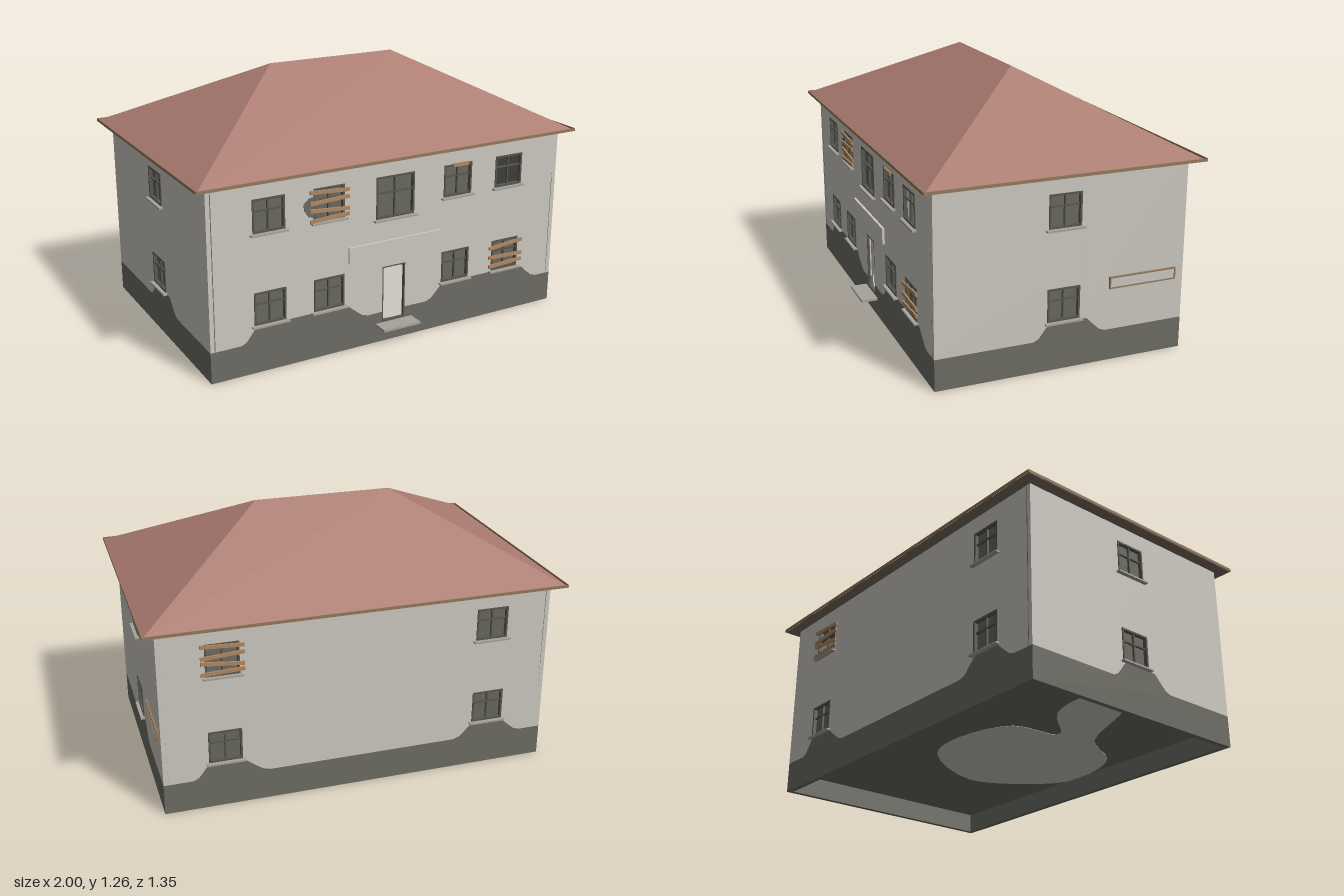
import * as THREE from 'three';

const mat = (name, color, extra = {}) => Object.assign(new THREE.MeshStandardMaterial({ color, ...extra }), { name });

export function createModel() {
  const M = {
    plaster: mat('plaster', 0xcbc8bf),
    stain: mat('dark stain', 0x6c6b63),
    roof: mat('roof tile red', 0xab7b71),
    eave: mat('eave brown', 0x94795c),
    soffit: mat('soffit grey brown', 0x7a6d62),
    frame: mat('window frame grey', 0x57564f),
    glass: mat('dark glass', 0x68675f),
    wood: mat('board wood', 0xb08862),
    sill: mat('sill grey', 0xa5a39b),
  };
  const house = new THREE.Group();
  house.name = 'house';

  const add = (parent, name, geo, material) => {
    const m = new THREE.Mesh(geo, material);
    m.name = name;
    parent.add(m);
    return m;
  };
  const box = (parent, name, material, w, h, d, x, y, z, tilt = 0) => {
    const m = add(parent, name, new THREE.BoxGeometry(w, h, d), material);
    m.position.set(x, y, z);
    m.rotation.z = tilt;
    return m;
  };
  const shapeOf = pts => new THREE.Shape(pts.map(p => new THREE.Vector2(p[0], p[1])));
  const extrude = (shape, depth, z) =>
    new THREE.ExtrudeGeometry(shape, { depth, bevelEnabled: false, curveSegments: 8 }).translate(0, 0, z);
  const rectPath = (x0, x1, y0, y1) => {
    const p = new THREE.Path();
    p.moveTo(x0, y0).lineTo(x0, y1).lineTo(x1, y1).lineTo(x1, y0).closePath();
    return p;
  };
  const frameShape = (x0, x1, y0, y1, t) => {
    const s = shapeOf([[x0, y0], [x1, y0], [x1, y1], [x0, y1]]);
    s.holes.push(rectPath(x0 + t, x1 - t, y0 + t, y1 - t));
    return s;
  };

  // One window: frame, cross bars, pane, sill and nailed boards
  function addWindow(wall, o) {
    const { x, y0, y1, w } = o, cy = (y0 + y1) / 2;
    const g = new THREE.Group();
    g.name = 'window';
    wall.add(g);
    add(g, 'windowFrame', extrude(frameShape(x - w / 2, x + w / 2, y0, y1, 0.009), 0.018, -0.014), M.frame);
    box(g, 'mullion', M.frame, 0.007, y1 - y0, 0.01, x, cy, -0.008);
    box(g, 'transom', M.frame, w, 0.007, 0.01, x, cy + 0.02, -0.008);
    if (!o.open) box(g, 'pane', M.glass, w, y1 - y0, 0.004, x, cy, -0.016);
    box(g, 'sill', M.sill, w + 0.025, 0.008, 0.036, x, y0 - 0.006, 0.002);
    for (const [dy, tilt, dx = 0, len = 0.2] of o.boards || [])
      box(g, 'board', M.wood, len, 0.017, 0.008, x + dx, y0 + dy, 0.01, tilt);
  }

  // One wall seen from outside; the stain edge splits plaster from the dark base
  function addWall(name, half, profile, windows, door) {
    const wall = new THREE.Group();
    wall.name = name;
    house.add(wall);
    const edge = [[-half, 0.15], ...profile, [half, 0.15]];
    const cut = (top) => {
      if (!door) return edge;
      const i = edge.findIndex(p => p[0] > door[0]);
      return [...edge.slice(0, i), [door[0], 0.152], [door[0], top], [door[1], top], [door[1], 0.152], ...edge.slice(i)];
    };
    const upper = shapeOf([...cut(0.38), [half, 0.915], [-half, 0.915]]);
    const lower = shapeOf([[-half, 0], [half, 0], ...cut(0.1).reverse()]);
    const inner = shapeOf([[-half, 0], [half, 0], [half, 0.9], [-half, 0.9]]);
    for (const o of windows) {
      const hole = () => rectPath(o.x - o.w / 2, o.x + o.w / 2, o.y0, o.y1);
      upper.holes.push(hole());
      inner.holes.push(hole());
      addWindow(wall, o);
    }
    if (door) inner.holes.push(rectPath(door[0], door[1], 0.1, 0.38));
    add(wall, 'plasterWall', extrude(upper, 0.02, -0.02), M.plaster);
    add(wall, 'stainedBase', extrude(lower, 0.02, -0.02), M.stain);
    add(wall, 'innerLining', extrude(inner, 0.004, -0.024), M.stain);
    return wall;
  }
  const up = (x, o = {}) => ({ x, w: 0.157, y0: 0.668, y1: 0.825, ...o });
  const low = (x, o = {}) => ({ x, w: 0.157, y0: 0.234, y1: 0.39, ...o });
  // Stain mound rising from a to b, falling from c to d
  const mound = (a, b, c, d) => [
    [a, 0.15], [a + (b - a) * 0.35, 0.163], [a + (b - a) * 0.65, 0.19], [b, 0.222], [b + 0.02, 0.227],
    [c - 0.02, 0.227], [c, 0.222], [c + (d - c) * 0.4, 0.185], [c + (d - c) * 0.7, 0.16], [d, 0.15]];

  // Front wall with door opening
  const front = addWall('frontWall', 0.938, [...mound(-0.79, -0.72, -0.25, -0.14), ...mound(0.18, 0.27, 0.75, 0.85)], [
    up(-0.648),
    up(-0.35, { boards: [[0.012, 0.05], [0.05, -0.08], [0.095, 0.04], [0.137, -0.06]] }),
    up(-0.002, { w: 0.205, y0: 0.622 }),
    up(0.345, { boards: [[0.155, 0, 0.01, 0.09]] }),
    up(0.643, { open: true }),
    low(-0.648), low(-0.35), low(0.345),
    low(0.643, { boards: [[0.13, 0.09], [0.07, -0.03], [0.03, 0.05]] }),
  ], [-0.065, 0.06]);
  front.position.z = 0.595;
  box(front, 'frontSign', M.plaster, 0.5, 0.08, 0.012, 0, 0.473, 0.006);
  box(front, 'doorStep', M.sill, 0.2, 0.011, 0.081, 0, 0.091, 0.041);
  add(front, 'doorFrame', extrude(frameShape(-0.065, 0.06, 0.1, 0.38, 0.006), 0.012, -0.012), M.frame);
  const burn = shapeOf([[-0.43, 0.69], [-0.41, 0.7], [-0.41, 0.79], [-0.45, 0.785], [-0.478, 0.76], [-0.475, 0.73], [-0.455, 0.7]]);
  add(front, 'darkPatch', extrude(burn, 0.004, 0), M.stain);

  // Back wall
  const back = addWall('backWall', 0.938, [...mound(-0.8, -0.73, -0.56, -0.44), ...mound(0.48, 0.57, 0.73, 0.83)], [
    up(-0.648, { open: true, boards: [[0.02, 0.05], [0.06, -0.1], [0.1, 0.07], [0.145, -0.05]] }),
    up(0.648), low(-0.648), low(0.648),
  ]);
  back.position.z = -0.61;
  back.rotation.y = Math.PI;
  const bare = shapeOf([[-0.09, 0.29], [-0.02, 0.265], [0.03, 0.285], [0.09, 0.285], [0.09, 0.19], [0.02, 0.195], [-0.03, 0.215], [-0.09, 0.21]]);
  add(back, 'innerPlasterPatch', extrude(bare, 0.004, -0.029), M.plaster);

  // Side walls
  for (const s of [1, -1]) {
    const side = addWall(s > 0 ? 'leftWall' : 'rightWall', 0.6025, mound(-0.14, -0.07, 0.12, 0.21),
      [up(s * 0.002), low(s * 0.002)]);
    side.position.set(s * 0.94, 0, -0.0075);
    side.rotation.y = s * Math.PI / 2;
    if (s > 0) {
      box(side, 'sideSign', M.plaster, 0.33, 0.05, 0.006, 0.393, 0.377, 0.003);
      add(side, 'sideSignFrame', extrude(frameShape(0.225, 0.56, 0.349, 0.405, 0.006), 0.01, 0), M.eave);
    }
  }

  // Raised floor with a bare plaster patch on both faces
  box(house, 'floor', M.stain, 1.86, 0.006, 1.18, 0, 0.1, -0.0075);
  const spots = [[0.12, 0.565], [0.32, 0.38], [0.41, 0.16], [0.205, -0.21], [-0.035, -0.27], [-0.32, -0.175], [-0.37, 0.065],
    [-0.57, -0.13], [-0.785, -0.155], [-0.8, 0.045], [-0.42, 0.245], [-0.28, 0.475], [-0.1, 0.56]];
  const curve = new THREE.CatmullRomCurve3(spots.map(([x, z]) => new THREE.Vector3(x, -z, 0)), true);
  const blob = shapeOf(curve.getPoints(52).slice(0, -1).map(p => [p.x, p.y]));
  add(house, 'floorPatch', extrude(blob, 0.009, -0.0045).rotateX(-Math.PI / 2), M.plaster).position.y = 0.1;

  // Hipped roof
  const zf = 0.65, zb = -0.67, ye = 0.911, yr = 1.262, zr = -0.01, rx = 0.335;
  const A = [-1, ye, zf], B = [1, ye, zf], C = [1, ye, zb], D = [-1, ye, zb], E = [-rx, yr, zr], F = [rx, yr, zr];
  const tris = [A, B, F, A, F, E, C, D, E, C, E, F, B, C, F, D, A, E];
  const roofGeo = new THREE.BufferGeometry();
  roofGeo.setAttribute('position', new THREE.Float32BufferAttribute(tris.flat(), 3));
  roofGeo.computeVertexNormals();
  add(house, 'roof', roofGeo, M.roof);
  box(house, 'soffit', M.soffit, 1.99, 0.003, 1.31, 0, 0.909, -0.01);

  // Eave boards around the roof edge
  for (const s of [1, -1]) {
    box(house, 'eaveBoard', M.eave, 2, 0.014, 0.003, 0, 0.915, -0.01 + s * 0.6595);
    box(house, 'eaveBoard', M.eave, 0.003, 0.014, 1.32, s * 0.9985, 0.915, -0.01);
  }
  return house;
}
